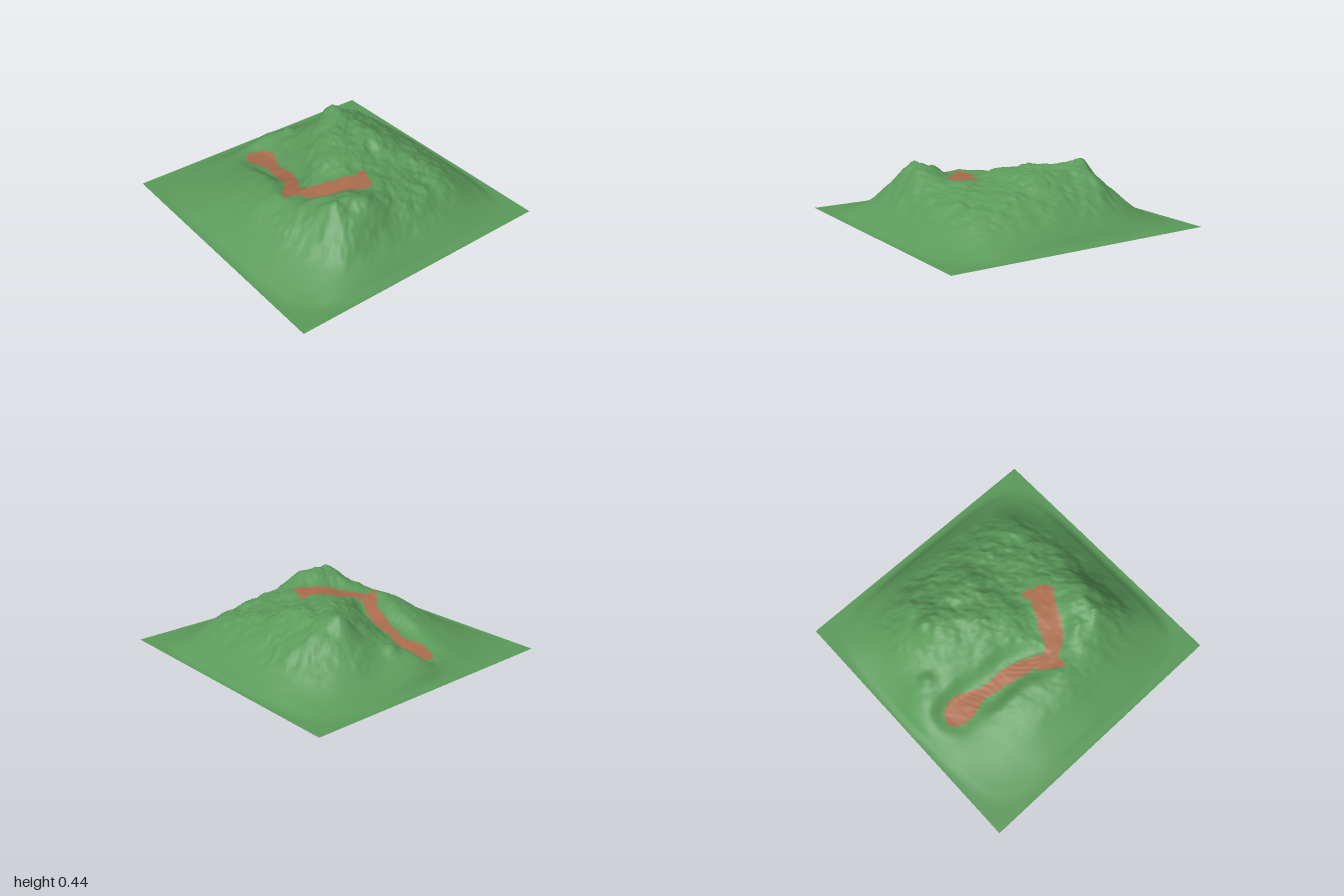
import * as THREE from 'three';

const N = 128; // grid cells per side

// Mountain cross-sections from back to front, x = -0.8 ... 0.8
const SECTIONS = [
  [.01, .03, .06, .08, .15, .12, .09, .06, .02],
  [.03, .08, .11, .10, .19, .23, .26, .18, .07],
  [.06, .14, .185, .14, .25, .37, .40, .30, .13],
  [.08, .19, .235, .20, .33, .38, .38, .28, .15],
  [.10, .23, .28, .28, .36, .36, .36, .27, .15],
  [.10, .22, .30, .29, .31, .30, .30, .25, .14],
  [.09, .20, .35, .37, .31, .28, .26, .23, .12],
  [.06, .15, .31, .35, .29, .25, .23, .18, .08],
  [.02, .08, .12, .13, .12, .115, .10, .06, .02],
];

// Small summits on top of the sections: x, z, added height, radius
const SUMMITS = [
  [.35, -.46, .06, .07], [.20, -.22, .02, .07], [-.38, .50, .045, .07], [-.25, .50, .02, .07], [.10, -.68, .04, .05],
];

// Centre line of the lava channel
const CHANNEL = new THREE.CatmullRomCurve3([
  [-.20, .07, -.72], [-.19, .09, -.60], [-.24, .13, -.40], [-.25, .18, -.20], [-.33, .23, -.03],
  [-.37, .26, .09], [-.25, .28, .20], [-.10, .31, .28], [.03, .32, .32],
].map((p) => new THREE.Vector3(...p))).getPoints(70);

// Outline of the lava from above
const LAVA = [
  [-.20, -.77], [-.12, -.72], [-.09, -.64], [-.12, -.52], [-.18, -.40], [-.20, -.20], [-.24, -.08],
  [-.32, .04], [-.28, .10], [-.16, .15], [-.03, .22], [0, .24], [.10, .22], [.08, .30], [.04, .40],
  [-.02, .42], [-.12, .36], [-.25, .29], [-.35, .22], [-.40, .10], [-.50, .10], [-.45, .02],
  [-.35, -.08], [-.30, -.28], [-.25, -.45], [-.30, -.60], [-.26, -.72],
];

const { smoothstep, lerp } = THREE.MathUtils;

function cubic(a, b, c, d, t) {
  return b + 0.5 * t * (c - a + t * (2 * a - 5 * b + 4 * c - d + t * (3 * (b - c) + d - a)));
}

// Smooth height between the cross-sections, with a flat rounded-square skirt
function baseHeight(x, z) {
  const u = (x + 1) * 5, v = (z + 1) * 5;
  const i = Math.min(9, Math.floor(u)), j = Math.min(9, Math.floor(v));
  const at = (r, c) => SECTIONS[r - 1]?.[c - 1] ?? 0;
  const row = (r) => cubic(at(r, i - 1), at(r, i), at(r, i + 1), at(r, i + 2), u - i);
  let h = cubic(row(j - 1), row(j), row(j + 1), row(j + 2), v - j);
  for (const [sx, sz, add, r] of SUMMITS) h += add * Math.exp(-((x - sx) ** 2 + (z - sz) ** 2) / (r * r));
  const edge = Math.pow(x ** 6 + z ** 6, 1 / 6);
  return Math.max(0, h) * smoothstep(1.0 - edge, 0, 0.11);
}

function hash(i, j) {
  let n = Math.imul(i, 374761393) + Math.imul(j, 668265263);
  n = Math.imul(n ^ (n >>> 13), 1274126177);
  return ((n ^ (n >>> 16)) >>> 0) / 4294967295;
}

function noise(x, z) {
  const i = Math.floor(x), j = Math.floor(z);
  const s = smoothstep(x - i, 0, 1), t = smoothstep(z - j, 0, 1);
  return lerp(lerp(hash(i, j), hash(i + 1, j), s), lerp(hash(i, j + 1), hash(i + 1, j + 1), s), t) * 2 - 1;
}

// Crags: several octaves of noise
function crags(x, z) {
  let sum = 0;
  for (let o = 0, f = 7, a = 0.016; o < 4; o++, f *= 2, a *= 0.68) sum += a * noise(x * f + 50 * o, z * f + 31);
  return sum;
}

function height(x, z) {
  const base = baseHeight(x, z);
  let nearest = CHANNEL[0], d = Infinity;
  for (const p of CHANNEL) {
    const e = Math.hypot(p.x - x, p.z - z);
    if (e < d) { d = e; nearest = p; }
  }
  // rougher to the front and the left, smooth on the back slope
  const rough = smoothstep(base, 0.05, 0.25) * (0.45 + 0.55 * smoothstep(x + z, -0.5, 0.1));
  const ground = base + rough * crags(x, z);
  return Math.max(0, lerp(nearest.y + 0.2 * crags(x, z), ground, smoothstep(d, 0.05, 0.17)));
}

function insideLava(x, z) {
  let inside = false;
  LAVA.forEach(([ax, az], i) => {
    const [bx, bz] = LAVA[(i + 1) % LAVA.length];
    if ((az > z) !== (bz > z) && x < ax + ((bx - ax) * (z - az)) / (bz - az)) inside = !inside;
  });
  return inside;
}

export function createModel() {
  const group = new THREE.Group();
  group.name = 'volcano';

  // One height field gives the shared points and normals
  const terrain = new THREE.PlaneGeometry(2, 2, N, N).rotateX(-Math.PI / 2);
  const pos = terrain.attributes.position;
  for (let i = 0; i < pos.count; i++) pos.setY(i, height(pos.getX(i), pos.getZ(i)));
  terrain.computeVertexNormals();

  // Sort the triangles into ground and lava, with a slightly ragged shore
  const ground = [], lava = [], idx = terrain.index.array;
  for (let i = 0; i < idx.length; i += 3) {
    const tri = [idx[i], idx[i + 1], idx[i + 2]];
    const x = tri.reduce((s, k) => s + pos.getX(k), 0) / 3;
    const z = tri.reduce((s, k) => s + pos.getZ(k), 0) / 3;
    (insideLava(x + 0.012 * noise(x * 25, z * 25), z) ? lava : ground).push(...tri);
  }

  const addPart = (name, index, color) => {
    const geometry = new THREE.BufferGeometry();
    geometry.setAttribute('position', pos);
    geometry.setAttribute('normal', terrain.attributes.normal);
    geometry.setIndex(index);
    const mesh = new THREE.Mesh(geometry, new THREE.MeshStandardMaterial({ color, side: THREE.DoubleSide }));
    mesh.name = name;
    group.add(mesh);
  };
  addPart('mountain', ground, 0x5b9a5b);
  addPart('lavaFlow', lava, 0xab6d4d);
  return group;
}
